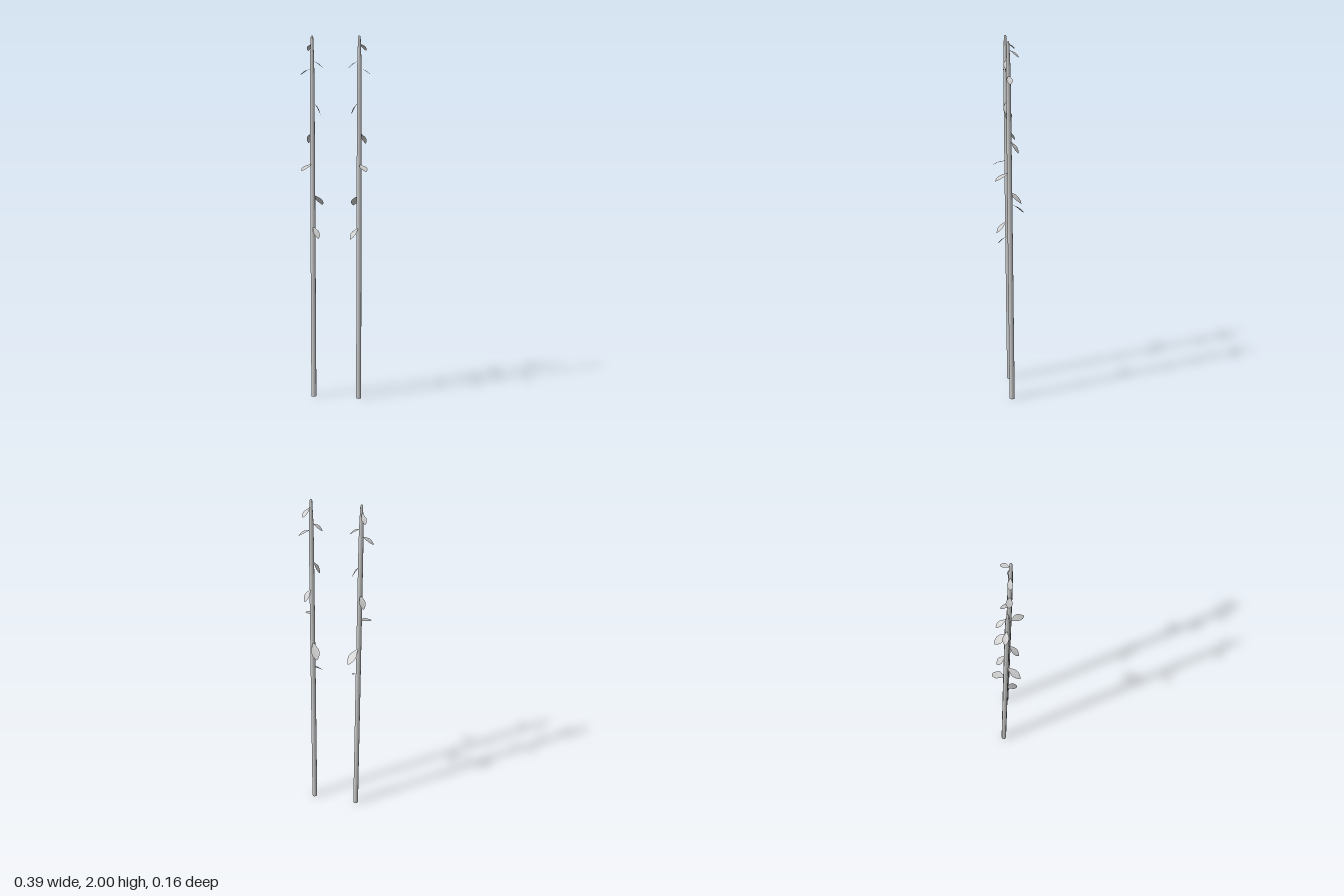
import * as THREE from 'three';

const STEM_X = 0.127;
const stemZ = (y) => -0.015 + 0.012 * y; // stems lean slightly forward

// base height, tip offset from the stem (x for the left stem), tip height, tip z, width
const LEAVES = [
  [0.97, -0.04, 0.912, 0.059, 0.036],
  [1.145, -0.042, 1.08, -0.078, 0.046],
  [1.315, 0.048, 1.282, 0.078, 0.04],
  [1.485, 0.03, 1.424, -0.044, 0.034],
  [1.645, -0.043, 1.582, 0.003, 0.036],
  [1.825, 0.066, 1.79, 0.0, 0.031],
  [1.865, -0.058, 1.828, 0.008, 0.029],
  [1.955, 0.03, 1.92, -0.044, 0.027],
];

const material = new THREE.MeshStandardMaterial({ color: 0xcccccc });
const leafMaterial = new THREE.MeshStandardMaterial({ color: 0xcccccc, side: THREE.DoubleSide });

// Tapered stalk with a rounded tip, sheared along z
function stemGeometry() {
  const profile = [
    [0, 0], [0.0142, 0], [0.0142, 0], [0.0138, 0.9], [0.0125, 1.75],
    [0.011, 1.88], [0.008, 1.96], [0.007, 1.99], [0.004, 1.998], [0, 2],
  ].map(([r, y]) => new THREE.Vector2(r, y));
  const geo = new THREE.LatheGeometry(profile, 10);
  const p = geo.attributes.position;
  for (let i = 0; i < p.count; i++) p.setZ(i, p.getZ(i) + stemZ(p.getY(i)));
  return geo;
}

// Pointed blade: left edge, raised midrib, right edge at each station along its length
function leafGeometry(base, tip, width) {
  const along = tip.clone().sub(base);
  const across = new THREE.Vector3(0, 1, 0).cross(along).normalize();
  const up = along.clone().cross(across).normalize();
  const stations = [[0, 0.08], [0.22, 0.5], [0.42, 0.92], [0.58, 1], [0.78, 0.76], [0.92, 0.36], [1, 0]];
  const pos = [], index = [];
  stations.forEach(([t, w], i) => {
    for (const s of [-1, 0, 1]) {
      const v = base.clone().addScaledVector(along, t)
        .addScaledVector(across, s * w * width / 2)
        .addScaledVector(up, Math.sin(Math.PI * t) * 0.003 + Math.abs(s) * w * 0.002);
      pos.push(v.x, v.y, v.z);
    }
    if (i === 0) return;
    for (let k = 0; k < 2; k++) {
      const a = (i - 1) * 3 + k, b = a + 3;
      index.push(a, a + 1, b + 1, a, b + 1, b);
    }
  });
  const geo = new THREE.BufferGeometry();
  geo.setAttribute('position', new THREE.Float32BufferAttribute(pos, 3));
  geo.setIndex(index);
  geo.computeVertexNormals();
  return geo;
}

export function createModel() {
  const model = new THREE.Group();
  model.name = 'leafyStems';
  // Two stems with mirrored leaves
  for (const side of [1, -1]) {
    const plant = new THREE.Group();
    plant.name = side > 0 ? 'leftPlant' : 'rightPlant';
    plant.position.x = side * STEM_X;

    const stem = new THREE.Mesh(stemGeometry(), material);
    stem.name = 'stem';
    plant.add(stem);

    LEAVES.forEach(([y, x, tipY, tipZ, width], i) => {
      const base = new THREE.Vector3(0, y, stemZ(y));
      const tip = new THREE.Vector3(side * x, tipY, tipZ);
      // Start the blade just inside the stem surface
      const out = new THREE.Vector3(tip.x, 0, tip.z - base.z).normalize();
      base.addScaledVector(out, 0.007);
      const leaf = new THREE.Mesh(leafGeometry(base, tip, width), leafMaterial);
      leaf.name = `leaf${i + 1}`;
      plant.add(leaf);
    });
    model.add(plant);
  }
  return model;
}
